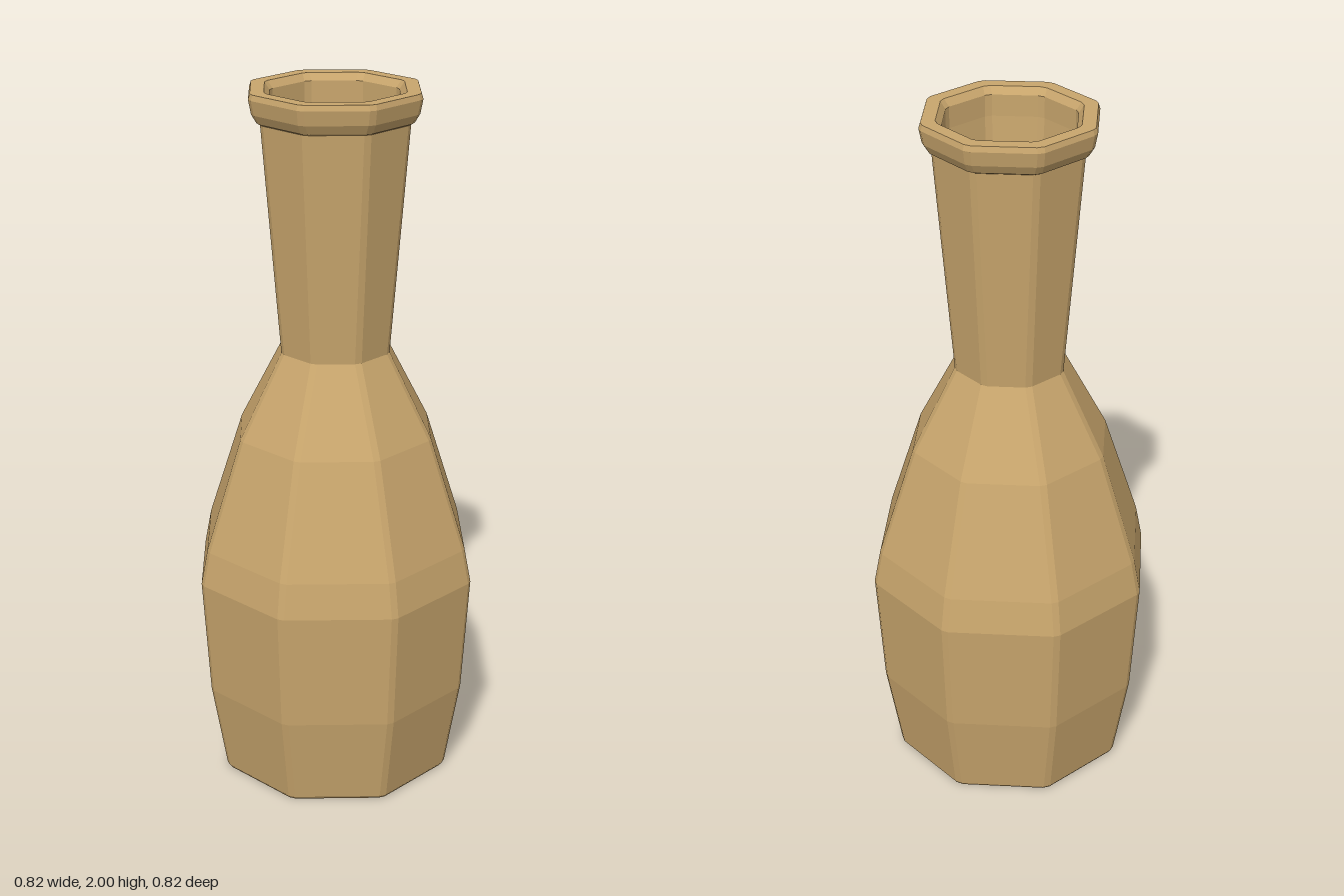
import * as THREE from 'three';

const SIDES = 8;
const BEVEL = 0.01; // half width of the chamfer along each upright corner

// Octagonal ring with chamfered corners pointing along the axes
function ring(r, y) {
  const points = [];
  const w = Math.min(BEVEL, r * 0.1);
  for (let i = 0; i < SIDES; i++) {
    const a = (i / SIDES) * Math.PI * 2;
    for (const t of [-w, w]) {
      points.push(new THREE.Vector3(
        r * Math.cos(a) - t * Math.sin(a), y,
        r * Math.sin(a) + t * Math.cos(a)));
    }
  }
  return points;
}

// Faceted skin through a profile of [radius, height] pairs
function faceted(name, profile, material) {
  const rings = profile.map(([r, y]) => ring(r, y));
  const positions = [];
  const triangle = (...corners) => corners.forEach((p) => positions.push(p.x, p.y, p.z));
  for (let i = 0; i < rings.length - 1; i++) {
    const lower = rings[i], upper = rings[i + 1], n = lower.length;
    for (let j = 0; j < n; j++) {
      const k = (j + 1) % n;
      if (profile[i + 1][0] > 0) triangle(lower[j], upper[j], upper[k]);
      if (profile[i][0] > 0) triangle(lower[j], upper[k], lower[k]);
    }
  }
  const geometry = new THREE.BufferGeometry();
  geometry.setAttribute('position', new THREE.Float32BufferAttribute(positions, 3));
  geometry.computeVertexNormals(); // unshared vertices keep the facets flat
  const mesh = new THREE.Mesh(geometry, material);
  mesh.name = name;
  return mesh;
}

export function createModel() {
  const clay = new THREE.MeshStandardMaterial({ color: 0xc9a66d });
  clay.name = 'tan clay';

  const bottle = new THREE.Group();
  bottle.name = 'bottle';
  bottle.add(
    // Underside, belly and shoulder
    faceted('body', [
      [0, 0], [0.335, 0], [0.343, 0.01], [0.388, 0.27], [0.41, 0.61],
      [0.39, 0.71], [0.284, 1.03], [0.158, 1.27],
    ], clay),
    faceted('neck', [[0.158, 1.27], [0.212, 1.915]], clay),
    // Rolled rim around the mouth
    faceted('lip', [
      [0.212, 1.915], [0.222, 1.92], [0.237, 1.945], [0.245, 1.985],
      [0.24, 2], [0.2, 2], [0.185, 1.98],
    ], clay),
    // Tapered inside of the neck with its floor
    faceted('interior', [[0.185, 1.98], [0.185, 1.92], [0.132, 1.27], [0, 1.27]], clay),
  );
  return bottle;
}
